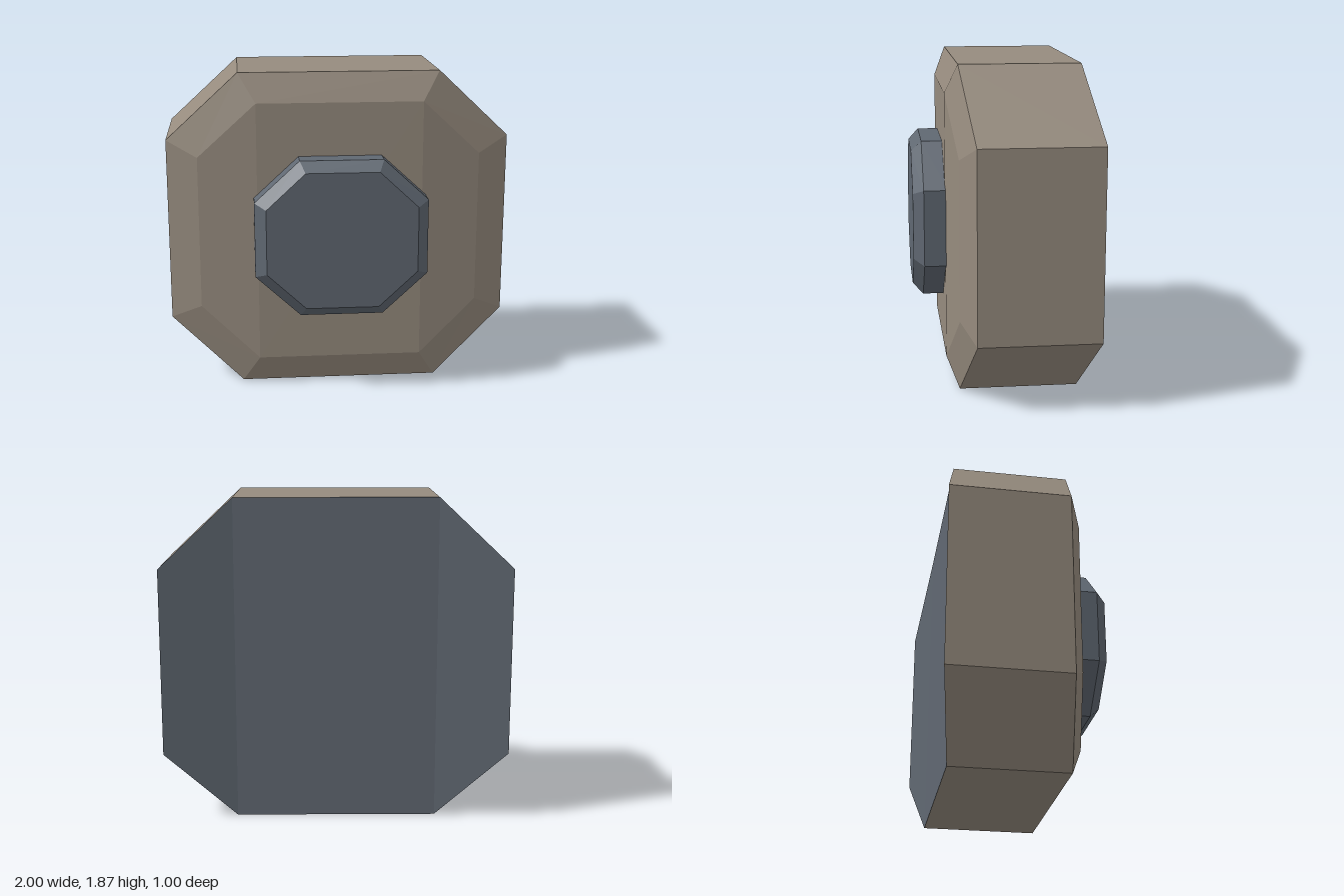
import * as THREE from 'three';

const CY = 0.935;

// Octagon ring, anticlockwise seen from +z: a flat top/bottom edge of half width xi
// and a side edge of half height yo; zi and zo are the depths at those corners.
function ring(xi, xo, yi, yo, zi, zo = zi) {
  return [[xo, -yo, zo], [xo, yo, zo], [xi, yi, zi], [-xi, yi, zi],
    [-xo, yo, zo], [-xo, -yo, zo], [-xi, -yi, zi], [xi, -yi, zi]]
    .map(([x, y, z]) => new THREE.Vector3(x, y + CY, z));
}

function facets(points) {
  const g = new THREE.BufferGeometry().setFromPoints(points);
  g.computeVertexNormals();
  return g;
}

const quad = (a, b, c, d) => [a, b, c, a, c, d];

// Side walls between successive rings, ordered back to front
function walls(rings) {
  const pts = [];
  for (let r = 0; r < rings.length - 1; r++) {
    for (let i = 0; i < 8; i++) {
      const j = (i + 1) % 8;
      pts.push(...quad(rings[r][i], rings[r][j], rings[r + 1][j], rings[r + 1][i]));
    }
  }
  return pts;
}

// Cap folded along the two upright creases
function cap(r, back = false) {
  const pts = [
    ...quad(r[7], r[0], r[1], r[2]),
    ...quad(r[6], r[7], r[2], r[3]),
    ...quad(r[5], r[6], r[3], r[4]),
  ];
  return back ? pts.reverse() : pts;
}

export function createModel() {
  const stone = new THREE.MeshStandardMaterial({ color: 0x968b7e });
  stone.name = 'warm grey';
  const slate = new THREE.MeshStandardMaterial({ color: 0x606872 });
  slate.name = 'slate grey';
  stone.flatShading = slate.flatShading = true;

  const group = new THREE.Group();
  group.name = 'octagonalBlock';
  const add = (name, points, material) => {
    const mesh = new THREE.Mesh(facets(points), material);
    mesh.name = name;
    group.add(mesh);
  };

  // Body with swept-back sides and a bevelled front
  const back = ring(0.58, 1, 0.935, 0.54, -0.43, -0.5);
  const rim = ring(0.58, 1, 0.935, 0.54, 0.25, 0.185);
  const face = ring(0.48, 0.82, 0.768, 0.45, 0.32, 0.265);
  add('body', [...walls([back, rim, face]), ...cap(face)], stone);
  add('backPanel', cap(back, true), slate);

  // Bevelled boss on the front
  const base = ring(0.24, 0.5, 0.46, 0.22, 0.3);
  const edge = ring(0.24, 0.5, 0.46, 0.22, 0.44);
  const top = ring(0.21, 0.435, 0.4, 0.19, 0.5);
  add('boss', [...walls([base, edge, top]), ...cap(top), ...cap(base, true)], slate);

  return group;
}
